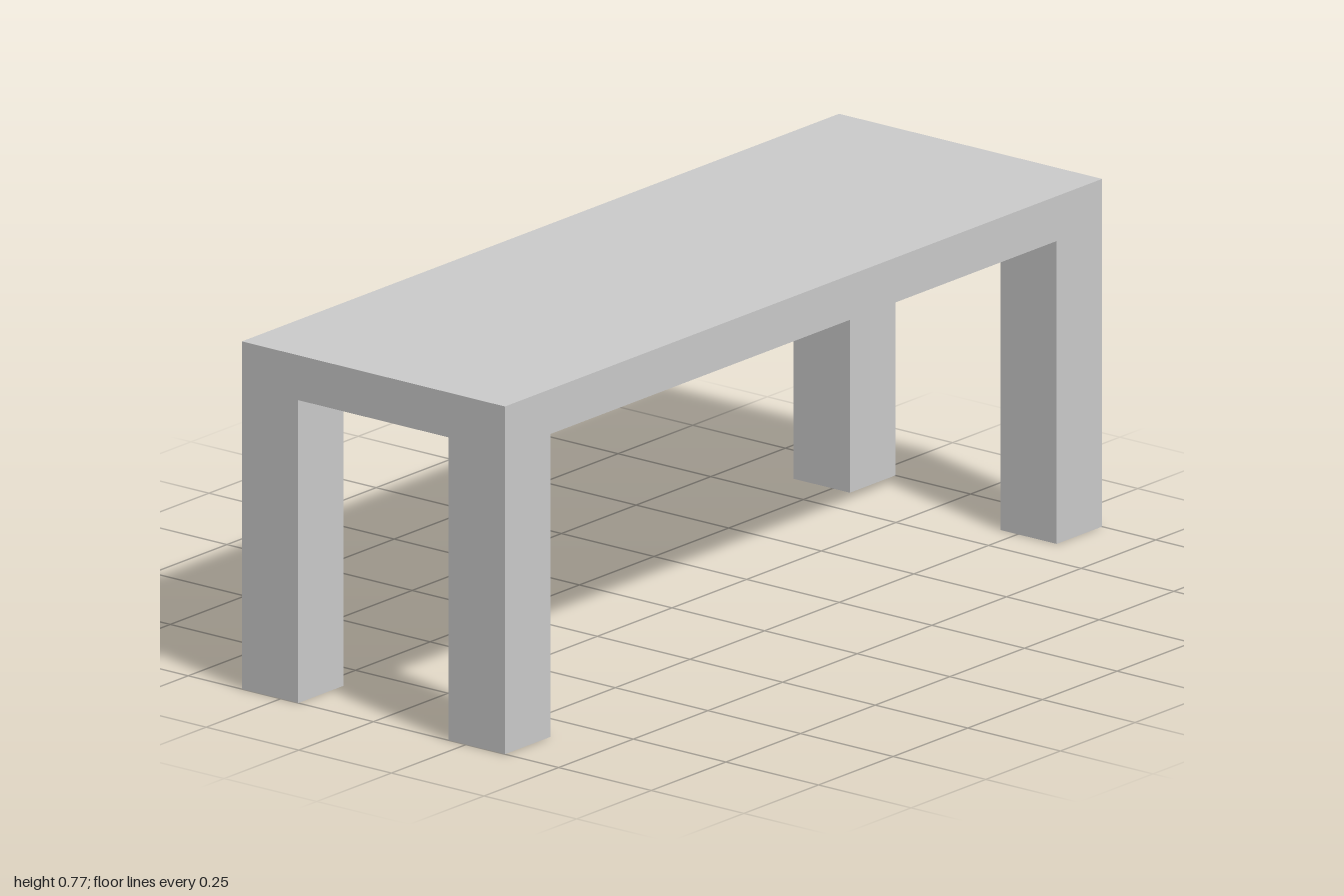
import * as THREE from 'three';

const LENGTH = 2, DEPTH = 0.71, HEIGHT = 0.768;
const TOP = 0.099, LEG = 0.152;

export function createModel() {
  const model = new THREE.Group();
  model.name = 'bench';
  const material = new THREE.MeshStandardMaterial({ color: 0xcccccc });

  // Flat slab top
  const top = new THREE.Mesh(new THREE.BoxGeometry(LENGTH, TOP, DEPTH), material);
  top.name = 'top';
  top.position.y = HEIGHT - TOP / 2;
  model.add(top);

  // Four square legs, flush with the corners of the top
  const legHeight = HEIGHT - TOP;
  const legGeometry = new THREE.BoxGeometry(LEG, legHeight, LEG);
  for (const [xSide, sx] of [['Left', 1], ['Right', -1]]) {
    for (const [zSide, sz] of [['front', 1], ['back', -1]]) {
      const leg = new THREE.Mesh(legGeometry, material);
      leg.name = `${zSide}${xSide}Leg`;
      leg.position.set(sx * (LENGTH - LEG) / 2, legHeight / 2, sz * (DEPTH - LEG) / 2);
      model.add(leg);
    }
  }
  return model;
}
